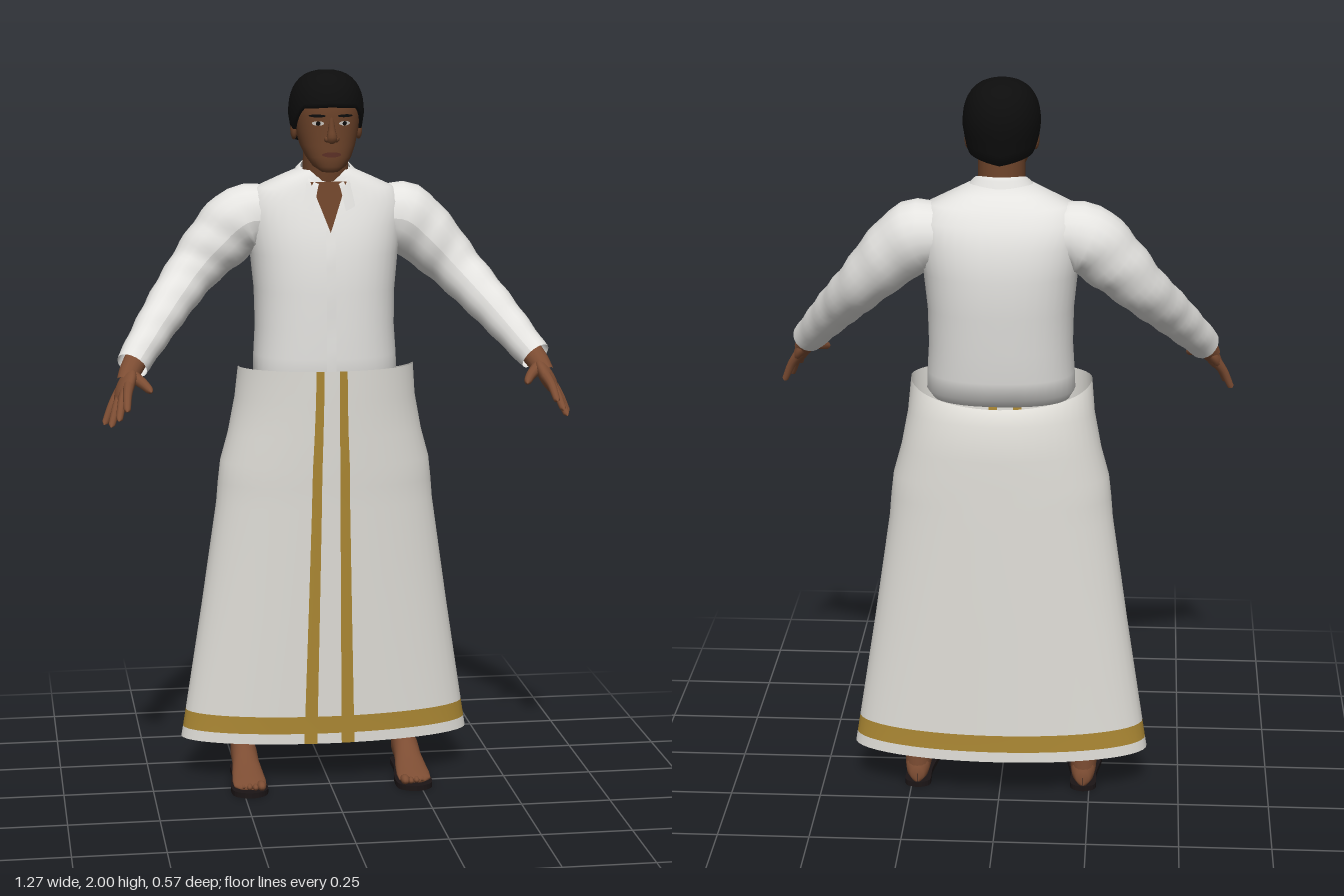
import * as THREE from 'three';
import { mergeVertices } from 'three/addons/utils/BufferGeometryUtils.js';

const material = (name, color, side = THREE.FrontSide) => {
  const m = new THREE.MeshStandardMaterial({ color, side });
  m.name = name;
  return m;
};
const V = (x, y, z) => new THREE.Vector3(x, y, z);
const TAU = Math.PI * 2;

// Linear interpolation in a table whose rows start with their key
function lookup(rows, key) {
  let i = 0;
  while (i < rows.length - 2 && rows[i + 1][0] < key) i++;
  const a = rows[i], b = rows[i + 1];
  const t = THREE.MathUtils.clamp((key - a[0]) / (b[0] - a[0] || 1), 0, 1);
  return a.map((v, k) => v + (b[k] - v) * t);
}

// Smooth sheet of nu x nv cells; matOf picks a material index per cell
function grid(nu, nv, f, matOf = () => 0) {
  const pos = [], lists = [[], []];
  for (let j = 0; j <= nv; j++) for (let i = 0; i <= nu; i++) pos.push(...f(i, j));
  for (let j = 0; j < nv; j++) for (let i = 0; i < nu; i++) {
    const a = j * (nu + 1) + i, d = a + nu + 1;
    lists[matOf(i, j)].push(a, a + 1, d + 1, a, d + 1, d);
  }
  const g = new THREE.BufferGeometry();
  g.setAttribute('position', new THREE.Float32BufferAttribute(pos, 3));
  g.setIndex([...lists[0], ...lists[1]]);
  if (lists[1].length) {
    g.addGroup(0, lists[0].length, 0);
    g.addGroup(lists[0].length, lists[1].length, 1);
  }
  const merged = mergeVertices(g, 1e-5);
  merged.computeVertexNormals();
  return merged;
}

const pow = (v, e) => Math.sign(v) * Math.abs(v) ** e;
// Point on a horizontal superellipse ring [y, halfWidth, zFront, zBack]
function ringPoint([y, w, zf, zb], a, n) {
  return [w * pow(Math.sin(a), 2 / n), y, (zf + zb) / 2 + (zf - zb) / 2 * pow(Math.cos(a), 2 / n)];
}
const loft = (rows, n, seg = 40) =>
  grid(seg, rows.length - 1, (i, j) => ringPoint(rows[j], (i % seg) / seg * TAU, n));
// Front depth of such a loft at x, y
function frontZ(rows, n, x, y) {
  const [, w, zf, zb] = lookup(rows, y);
  const k = Math.max(0, 1 - Math.min(1, Math.abs(x / w)) ** n);
  return (zf + zb) / 2 + (zf - zb) / 2 * k ** (1 / n);
}

// Tapered tube through points, one radius per point
function limb(points, radii, sides = 14, steps = 20, ripple = 0) {
  const curve = new THREE.CatmullRomCurve3(points);
  const g = new THREE.TubeGeometry(curve, steps, 1, sides);
  const rows = radii.map((r, i) => [i / (radii.length - 1), r]);
  const p = g.attributes.position, v = V(0, 0, 0);
  for (let i = 0; i <= steps; i++) {
    const c = curve.getPointAt(i / steps);
    const r = lookup(rows, curve.getUtoTmapping(i / steps))[1];
    for (let j = 0; j <= sides; j++) {
      const k = i * (sides + 1) + j;
      const fold = 1 + ripple * Math.sin(i * 1.3 + 2 * Math.sin(j / sides * TAU));
      v.fromBufferAttribute(p, k).sub(c).multiplyScalar(r * fold).add(c);
      p.setXYZ(k, v.x, v.y, v.z);
    }
  }
  g.deleteAttribute('uv');
  if (ripple) g.computeVertexNormals();
  return g;
}

const TORSO = [[1.14, 0.001, -0.09, -0.1], [1.14, 0.185, 0.02, -0.21], [1.17, 0.2, 0.03, -0.25],
  [1.22, 0.198, 0.033, -0.262], [1.3, 0.193, 0.03, -0.268], [1.4, 0.195, 0.03, -0.28],
  [1.5, 0.205, 0.023, -0.285], [1.58, 0.22, 0.005, -0.277], [1.64, 0.222, -0.015, -0.255],
  [1.68, 0.19, -0.028, -0.225], [1.71, 0.125, -0.037, -0.2], [1.73, 0.08, -0.045, -0.17],
  [1.73, 0.001, -0.1, -0.11]];
const HEAD = [[1.73, 0.001, 0.0, -0.01], [1.73, 0.022, 0.02, -0.025], [1.745, 0.045, 0.03, -0.06],
  [1.77, 0.062, 0.032, -0.1], [1.8, 0.075, 0.032, -0.14], [1.84, 0.085, 0.03, -0.165],
  [1.88, 0.09, 0.031, -0.17], [1.92, 0.09, 0.03, -0.17], [1.96, 0.075, 0.01, -0.15],
  [1.985, 0.04, -0.03, -0.11], [1.988, 0.001, -0.07, -0.08]];
const SKIRT = [[0.12, 0.41, 0.005, -0.26], [0.15, 0.405, 0.006, -0.26], [0.2, 0.397, 0.008, -0.26],
  [0.5, 0.35, 0.022, -0.263], [0.8, 0.306, 0.035, -0.265], [0.86, 0.301, 0.038, -0.265],
  [0.92, 0.294, 0.042, -0.265], [1.0, 0.272, 0.045, -0.265], [1.1, 0.253, 0.05, -0.262],
  [1.19, 0.245, 0.053, -0.235]];
// Foot rings: z, half width, top height
const FOOT = [[-0.18, 0.001, 0.04], [-0.178, 0.018, 0.06], [-0.165, 0.031, 0.09], [-0.14, 0.036, 0.115],
  [-0.1, 0.037, 0.112], [-0.06, 0.038, 0.085], [-0.02, 0.043, 0.062], [0.03, 0.047, 0.044],
  [0.06, 0.045, 0.034], [0.07, 0.03, 0.028], [0.07, 0.001, 0.022]];
// Lower hair edge by angle from the front
const HAIRLINE = [[0, 1.905], [0.8, 1.9], [1.3, 1.842], [1.6, 1.85], [2.0, 1.81], [3.15, 1.788]];

export function createModel() {
  const root = new THREE.Group();
  const shirt = material('shirt white', 0xe4e3e0, THREE.DoubleSide);
  const cloth = material('wrap off-white', 0xe2e0da, THREE.DoubleSide);
  const gold = material('gold border', 0xad8934, THREE.DoubleSide);
  const skin = material('skin', 0x7d4d33);
  const faceSkin = material('face skin', 0x6b4229);
  const hair = material('hair black', 0x0d0d0d, THREE.DoubleSide);
  const sole = material('sandal black', 0x1b1516);
  const eyeWhite = material('eye white', 0xc9c4bd);
  const lip = material('lips', 0x5c3026);
  const add = (name, geometry, mat, parent = root) => {
    const m = new THREE.Mesh(geometry, mat);
    m.name = name;
    parent.add(m);
    return m;
  };

  // Wrapped skirt with gold hem band and two front stripes
  const angles = [-0.18, -0.135, -0.09, 0, 0.08, 0.125, 0.17];
  for (let i = 1; i <= 48; i++) angles.push(0.17 + (TAU - 0.35) * i / 48);
  add('wrapSkirt', grid(angles.length - 1, SKIRT.length - 1, (i, j) => {
    const a = i === angles.length - 1 ? angles[0] : angles[i];
    const p = ringPoint(SKIRT[j], a, 2);
    if (j === SKIRT.length - 1) p[1] -= 0.05 * Math.max(0, -Math.cos(a));
    return p;
  }, (i, j) => (j === 1 || i < 2 || i === 4 || i === 5 ? 1 : 0)), [cloth, gold]);

  // Shirt body, button strip and open neck
  add('shirtBody', loft(TORSO, 2.3), shirt);
  const chest = (x, y, off) => [x, y, frontZ(TORSO, 2.3, x, y) + off];
  add('buttonStrip', grid(2, 12, (i, j) => chest((i - 1) * 0.013, 1.18 + j * 0.0325, 0.003), shirt && undefined), shirt);
  add('openNeck', grid(8, 10, (i, j) =>
    chest((i / 4 - 1) * 0.05 * j / 10, 1.565 + j * 0.0135, 0.006)), faceSkin);
  // Folded collar, open at the front
  add('collar', grid(36, 3, (i, j) => {
    const a = 0.4 + (TAU - 0.8) * i / 36, c = Math.cos(a);
    const top = 1.69 + 0.065 * (1 - c) / 2 + 0.015 * Math.sin(a) ** 2;
    const drop = 0.05 + 0.025 * Math.max(0, c);
    const [t, h] = [[0, -0.04], [0.05, 0], [0.3, -0.2], [1, -1]][j];
    return [(0.068 + 0.045 * t) * Math.sin(a), top + drop * h, -0.09 + (0.072 + 0.022 * t) * c];
  }), shirt);

  // Head and neck
  add('neck', limb([V(0, 1.6, -0.11), V(0, 1.72, -0.095), V(0, 1.82, -0.085)], [0.07, 0.063, 0.062], 24), faceSkin);
  add('head', loft(HEAD, 2.2), faceSkin);
  add('nose', limb([V(0, 1.88, 0.024), V(0, 1.845, 0.032), V(0, 1.822, 0.037), V(0, 1.811, 0.026)],
    [0.006, 0.01, 0.016, 0.006], 12, 12), faceSkin);
  add('hair', grid(48, 13, (i, j) => {
    const a = (i % 48) / 48 * TAU;
    const low = lookup(HAIRLINE, Math.min(a, TAU - a))[1];
    const y = low + (2 - low) * Math.sin(Math.max(0, j - 1) / 12 * Math.PI / 2);
    const h = (y - 1.88) / 0.12;
    let s = h > 0 ? Math.max(0, 1 - h ** 2.5) ** 0.4 : 1 + h * 0.2;
    if (j === 0) s *= 0.8;
    return [0.103 * s * Math.sin(a), y, -0.08 + 0.117 * s * Math.cos(a)];
  }), hair);
  // Flat oval laid on the face
  const oval = (name, cx, cy, w, h, off, mat) => add(name, grid(20, 3, (i, j) => {
    const a = (i % 20) / 20 * TAU, r = 1 - j / 3;
    const x = cx + w * r * Math.cos(a), y = cy + h * r * Math.sin(a);
    return [x, y, frontZ(HEAD, 2.2, x, y) + off];
  }), mat);
  oval('mouth', 0, 1.778, 0.026, 0.007, 0.003, lip);

  for (const s of [1, -1]) {
    const side = s > 0 ? 'left' : 'right';
    const P = (x, y, z) => V(x * s, y, z);
    // Eyes, brows, ears
    oval(side + 'Eye', 0.036 * s, 1.862, 0.016, 0.006, 0.002, eyeWhite);
    oval(side + 'Pupil', 0.036 * s, 1.862, 0.006, 0.006, 0.004, hair);
    oval(side + 'Brow', 0.038 * s, 1.882, 0.022, 0.004, 0.003, hair);
    add(side + 'Ear', new THREE.SphereGeometry(1, 14, 10).scale(0.01, 0.028, 0.018)
      .translate(0.089 * s, 1.84, -0.075), faceSkin);
    add(side + 'Nostril', new THREE.SphereGeometry(0.009, 10, 8).translate(0.012 * s, 1.82, 0.033), faceSkin);

    // Sleeve and wrist
    add(side + 'Sleeve', limb([P(0.13, 1.59, -0.14), P(0.22, 1.59, -0.14), P(0.3, 1.525, -0.13),
      P(0.37, 1.45, -0.105), P(0.46, 1.345, -0.005), P(0.55, 1.23, 0.11)],
    [0.08, 0.098, 0.086, 0.07, 0.058, 0.044], 20, 34, 0.025), shirt);
    const wrist = P(0.555, 1.218, 0.125);
    add(side + 'Wrist', limb([P(0.49, 1.305, 0.035), P(0.53, 1.255, 0.09), wrist, P(0.57, 1.19, 0.15)],
      [0.03, 0.033, 0.03, 0.025]), skin);

    // Hand
    const hand = new THREE.Group();
    hand.name = side + 'Hand';
    root.add(hand);
    const tips = [P(0.575, 1.135, 0.285), P(0.596, 1.108, 0.272), P(0.615, 1.085, 0.232), P(0.63, 1.082, 0.175)];
    const dir = P(0.05, -0.113, 0.115).normalize();
    const normal = new THREE.Vector3().crossVectors(dir, tips[3].clone().sub(tips[0])).normalize();
    const across = new THREE.Vector3().crossVectors(normal, dir);
    const basis = new THREE.Matrix4().makeBasis(across, normal, dir)
      .setPosition(wrist.clone().addScaledVector(dir, 0.055));
    add('palm', new THREE.SphereGeometry(1, 20, 14).scale(0.041, 0.02, 0.058).applyMatrix4(basis), skin, hand);
    tips.forEach((tip) => add('finger', limb([wrist.clone().lerp(tip, 0.3), wrist.clone().lerp(tip, 0.65)
      .addScaledVector(P(0.3, 0.9, 0.3), 0.006), wrist.clone().lerp(tip, 0.95), tip],
    [0.016, 0.012, 0.009, 0.001], 10, 14), skin, hand));
    add('thumb', limb([P(0.555, 1.21, 0.14), P(0.525, 1.19, 0.175), P(0.509, 1.177, 0.207), P(0.506, 1.173, 0.217)],
      [0.018, 0.014, 0.01, 0.001], 10, 14), skin, hand);

    // Leg, foot and toes
    add(side + 'Leg', limb([P(0.233, 0.06, -0.142), P(0.23, 0.15, -0.142), P(0.2, 0.4, -0.14),
      P(0.15, 0.75, -0.11), P(0.11, 1.1, -0.1)], [0.035, 0.036, 0.055, 0.075, 0.085], 18), skin);
    add(side + 'Foot', grid(24, FOOT.length - 1, (i, j) => {
      const [z, w, top] = FOOT[j], a = (i % 24) / 24 * TAU, h = (top - 0.013) / 2;
      return [0.233 * s - w * Math.sin(a), 0.013 + h + h * Math.cos(a), z];
    }), skin);
    for (let k = 0; k < 5; k++) {
      const r = k ? 0.009 : 0.013;
      add(side + 'Toe', new THREE.SphereGeometry(1, 10, 8).scale(r, r, r * 1.9)
        .translate((0.203 + k * 0.0165) * s, 0.014 + r, 0.072 - k * k * 0.0018), skin);
    }
    // Sandal sole
    const outline = new THREE.Shape(new THREE.SplineCurve([[0, -0.185], [0.034, -0.165], [0.036, -0.09],
      [0.05, 0.01], [0.045, 0.075], [0, 0.1], [-0.045, 0.075], [-0.05, 0.01], [-0.036, -0.09],
      [-0.034, -0.165], [0, -0.185]].map(([x, y]) => new THREE.Vector2(x, y))).getPoints(50));
    add(side + 'Sandal', new THREE.ExtrudeGeometry(outline, { depth: 0.015, bevelEnabled: false })
      .rotateX(Math.PI / 2).translate(0.233 * s, 0.015, 0), sole);
  }
  return root;
}
